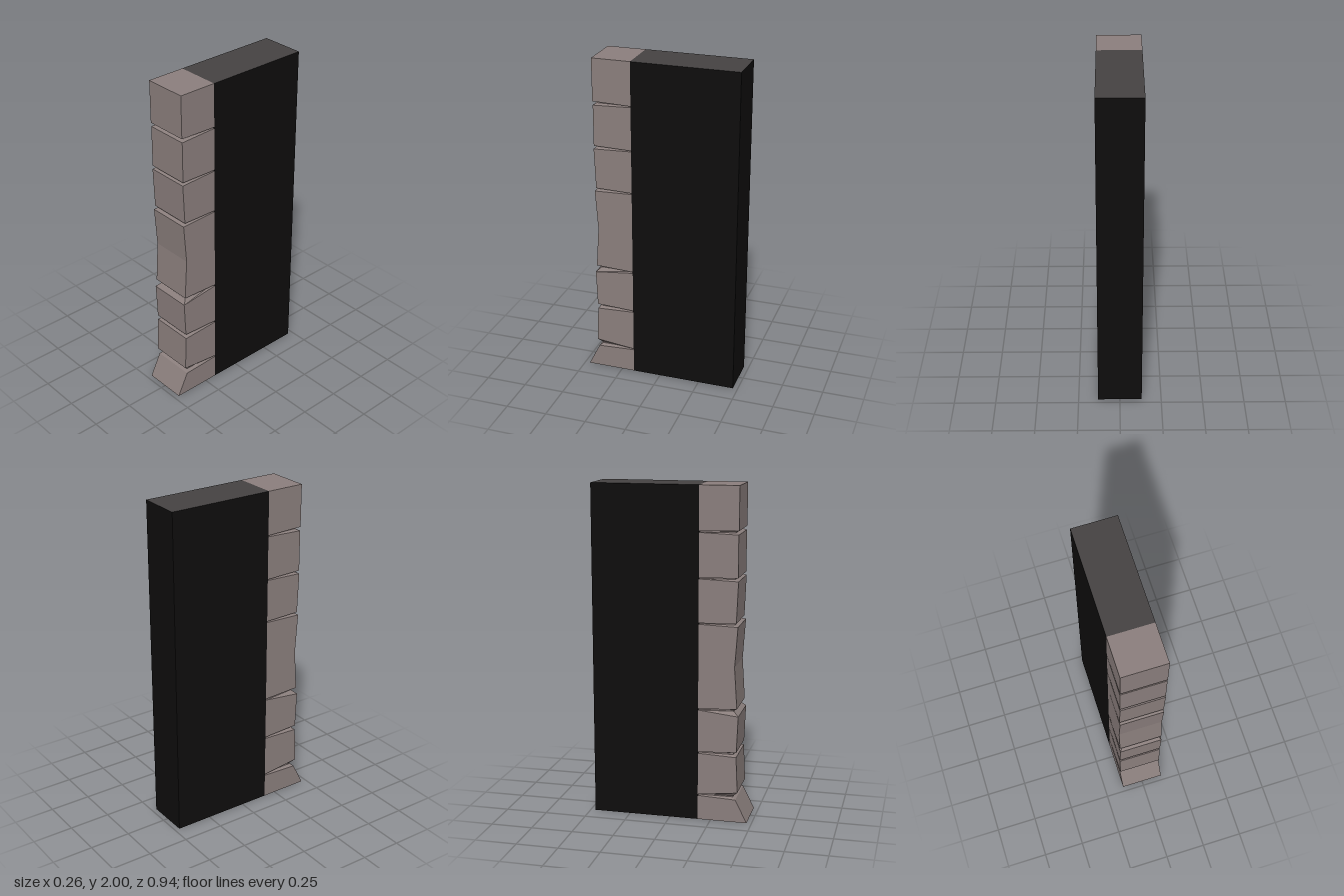
import * as THREE from 'three';

const HALF = 0.132, SPLIT = 0.172, BACK = -0.47, HEIGHT = 2;

const stone = new THREE.MeshStandardMaterial({ color: 0x8a7e7c, flatShading: true });
const wallDark = new THREE.MeshStandardMaterial({ color: 0x0e0d0d, side: THREE.DoubleSide });
const capDark = new THREE.MeshStandardMaterial({ color: 0x454242, side: THREE.DoubleSide });

// Loft through rectangular rings; front and back edges may sit at different heights
function loft(rings) {
  const pos = [];
  const corners = rings.map(([yFront, yBack, w, z]) => [
    [-w, yFront, z], [w, yFront, z], [w, yBack, SPLIT], [-w, yBack, SPLIT],
  ]);
  const quad = (a, b, c, d) => pos.push(...a, ...b, ...c, ...a, ...c, ...d);
  for (let i = 0; i + 1 < corners.length; i++) {
    for (let j = 0; j < 4; j++) {
      const k = (j + 1) % 4;
      quad(corners[i][j], corners[i][k], corners[i + 1][k], corners[i + 1][j]);
    }
  }
  const [b0, b1, b2, b3] = corners[0];
  quad(b0, b3, b2, b1);
  quad(...corners[corners.length - 1]);
  const geo = new THREE.BufferGeometry();
  geo.setAttribute('position', new THREE.Float32BufferAttribute(pos, 3));
  geo.computeVertexNormals();
  return geo;
}

function panel(name, w, h, material, position, rotation = [0, 0, 0]) {
  const mesh = new THREE.Mesh(new THREE.PlaneGeometry(w, h), material);
  mesh.name = name;
  mesh.position.set(...position);
  mesh.rotation.set(...rotation);
  return mesh;
}

export function createModel() {
  const model = new THREE.Group();
  model.name = 'stonePillar';

  // Stacked stones: each is a list of [front y, back y, front z]
  const stones = [
    [[0, 0, 0.47], [0.14, 0.15, 0.4]],
    [[0.185, 0.157, 0.412], [0.405, 0.415, 0.402]],
    [[0.435, 0.424, 0.403], [0.655, 0.682, 0.412]],
    [[0.7, 0.69, 0.403], [0.95, 0.95, 0.387], [1.19, 1.198, 0.404]],
    [[1.21, 1.205, 0.394], [1.455, 1.464, 0.404]],
    [[1.475, 1.47, 0.402], [1.722, 1.731, 0.402]],
    [[1.745, 1.738, 0.404], [HEIGHT, HEIGHT, 0.405]],
  ];
  const rings = [];
  stones.forEach((block, i) => {
    const body = block.map(([yf, yb, z]) => [yf, yb, HALF, z]);
    rings.push(...body);
    // Narrow neck recessed between this stone and the next
    if (i + 1 < stones.length) {
      const low = block[block.length - 1][1], high = stones[i + 1][0][1];
      rings.push([low, low, 0.108, 0.382], [high, high, 0.108, 0.382]);
    }
  });
  const facing = new THREE.Mesh(loft(rings), stone);
  facing.name = 'stoneFacing';
  model.add(facing);

  // Dark wall behind the stones, open underneath and toward the stones
  const depth = SPLIT - BACK, midZ = (SPLIT + BACK) / 2, q = Math.PI / 2;
  const wall = new THREE.Group();
  wall.name = 'wall';
  for (const [side, name] of [[1, 'wallLeft'], [-1, 'wallRight']]) {
    wall.add(panel(name, depth, HEIGHT, wallDark, [side * HALF, HEIGHT / 2, midZ], [0, side * q, 0]));
  }
  wall.add(panel('wallBack', 2 * HALF, HEIGHT, wallDark, [0, HEIGHT / 2, BACK], [0, Math.PI, 0]));
  wall.add(panel('wallTop', 2 * HALF, depth, capDark, [0, HEIGHT, midZ], [-q, 0, 0]));
  model.add(wall);

  return model;
}
